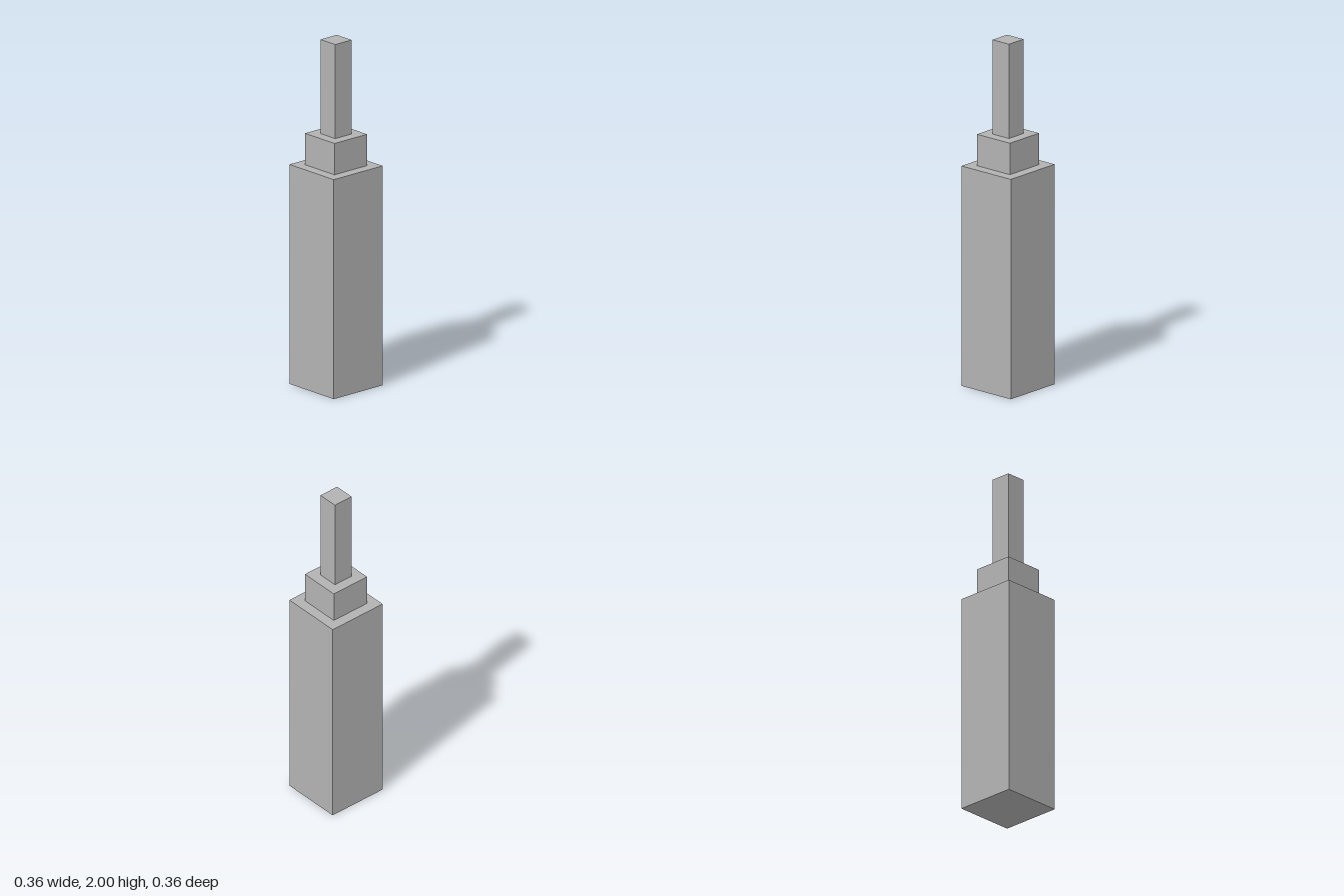
import * as THREE from 'three';

export function createModel() {
  const group = new THREE.Group();
  const grey = new THREE.MeshStandardMaterial({ color: 0xb2b2b2 });
  grey.name = 'grey';

  // Square tiers stacked from the ground up: name, width, height
  const tiers = [
    ['mainBlock', 0.3636, 1.2727],
    ['shoulderBlock', 0.2424, 0.1818],
    ['topShaft', 0.1212, 0.5455],
  ];

  let base = 0;
  for (const [name, width, height] of tiers) {
    const tier = new THREE.Mesh(new THREE.BoxGeometry(width, height, width), grey);
    tier.name = name;
    tier.position.y = base + height / 2;
    group.add(tier);
    base += height;
  }
  return group;
}
